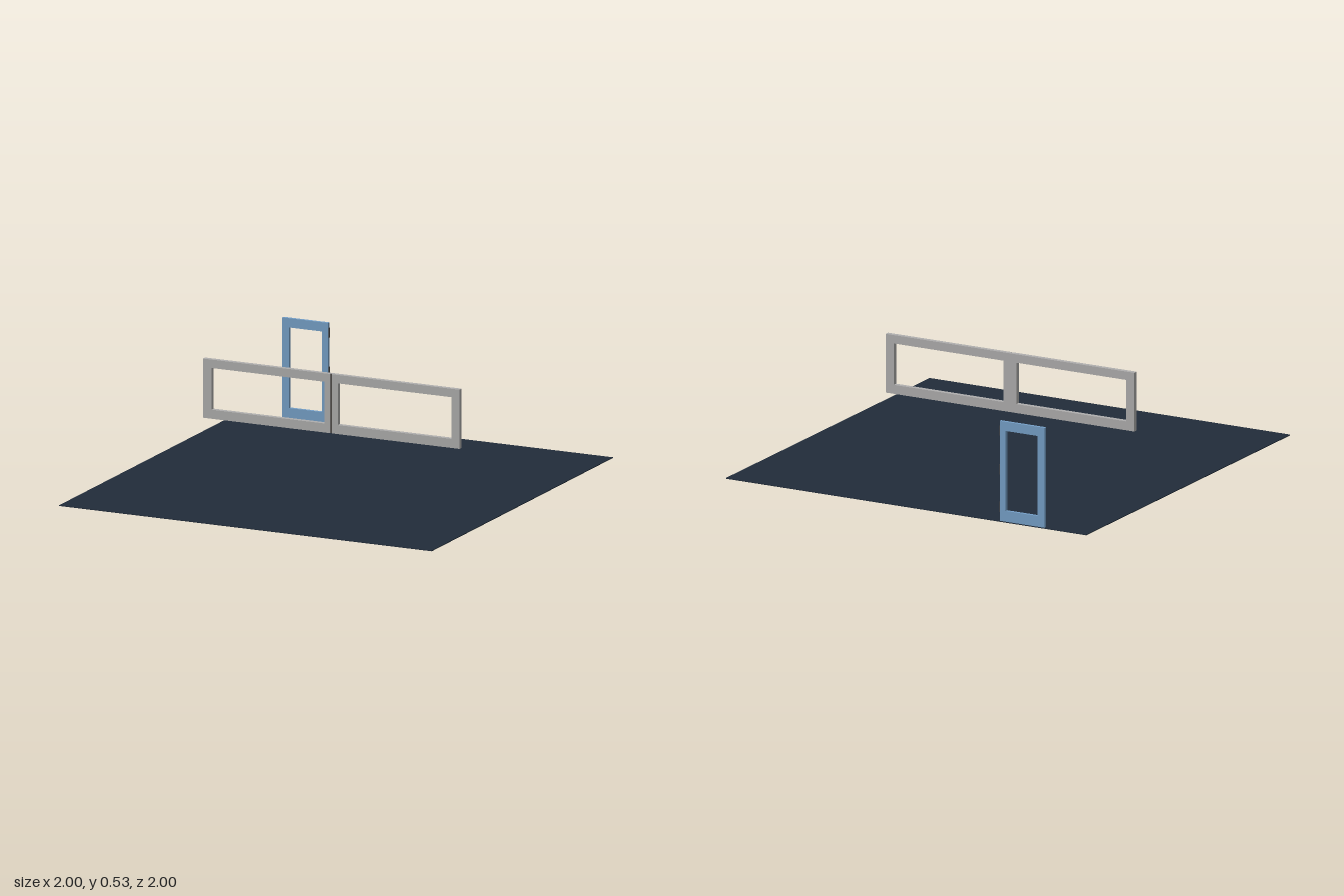
import * as THREE from 'three';

const paint = (name, color) => {
  const m = new THREE.MeshStandardMaterial({ color });
  m.name = name;
  return m;
};

export function createModel() {
  const model = new THREE.Group();
  const navy = paint('navy', 0x212c3a);
  const grey = paint('grey', 0xb0afae);
  const blue = paint('blue', 0x76a1c9);
  const dark = paint('dark grey', 0x504c49);

  const add = (name, geometry, material, parent) => {
    const mesh = new THREE.Mesh(geometry, material);
    mesh.name = name;
    parent.add(mesh);
    return mesh;
  };

  // Box given by its limits on each axis
  const box = (name, [x0, x1], [y0, y1], [z0, z1], material, parent) =>
    add(name, new THREE.BoxGeometry(x1 - x0, y1 - y0, z1 - z0), material, parent)
      .position.set((x0 + x1) / 2, (y0 + y1) / 2, (z0 + z1) / 2);

  const rectangle = (Type, [x0, x1], [y0, y1]) => new Type([
    new THREE.Vector2(x0, y0), new THREE.Vector2(x1, y0),
    new THREE.Vector2(x1, y1), new THREE.Vector2(x0, y1),
  ]);

  // Rectangular frame with an open middle
  const frame = (name, xs, ys, holeX, holeY, [z0, z1], material, parent) => {
    const shape = rectangle(THREE.Shape, xs, ys);
    shape.holes.push(rectangle(THREE.Path, holeX, holeY));
    const geometry = new THREE.ExtrudeGeometry(shape, { depth: z1 - z0, bevelEnabled: false });
    add(name, geometry, material, parent).position.z = z0;
  };

  // Floor
  box('floor', [-1, 1], [0, 0.004], [-1, 1], navy, model);

  // Double window with a groove between its sashes
  const windowUnit = new THREE.Group();
  windowUnit.name = 'window';
  model.add(windowUnit);
  const windowY = [0.238, 0.533], paneY = [0.283, 0.491], windowZ = [-0.031, -0.007];
  frame('rightSash', [-0.718, -0.036], windowY, [-0.672, -0.064], paneY, windowZ, grey, windowUnit);
  frame('leftSash', [-0.025, 0.66], windowY, [0.007, 0.616], paneY, windowZ, grey, windowUnit);
  box('mullion', [-0.036, -0.025], windowY, [-0.031, -0.015], grey, windowUnit);
  box('sashSeal', [-0.036, -0.025], windowY, [-0.015, -0.012], dark, windowUnit);

  // Door frame at the back edge
  const door = new THREE.Group();
  door.name = 'door';
  model.add(door);
  frame('doorFrame', [-0.767, -0.519], [0.004, 0.506], [-0.729, -0.552], [0.058, 0.46],
    [-0.997, -0.982], blue, door);

  // Three hinges on the door's left edge
  for (const y of [0.073, 0.262, 0.456]) {
    box('hinge', [-0.519, -0.516], [y - 0.025, y + 0.025], [-0.995, -0.984], dark, door);
  }

  return model;
}
